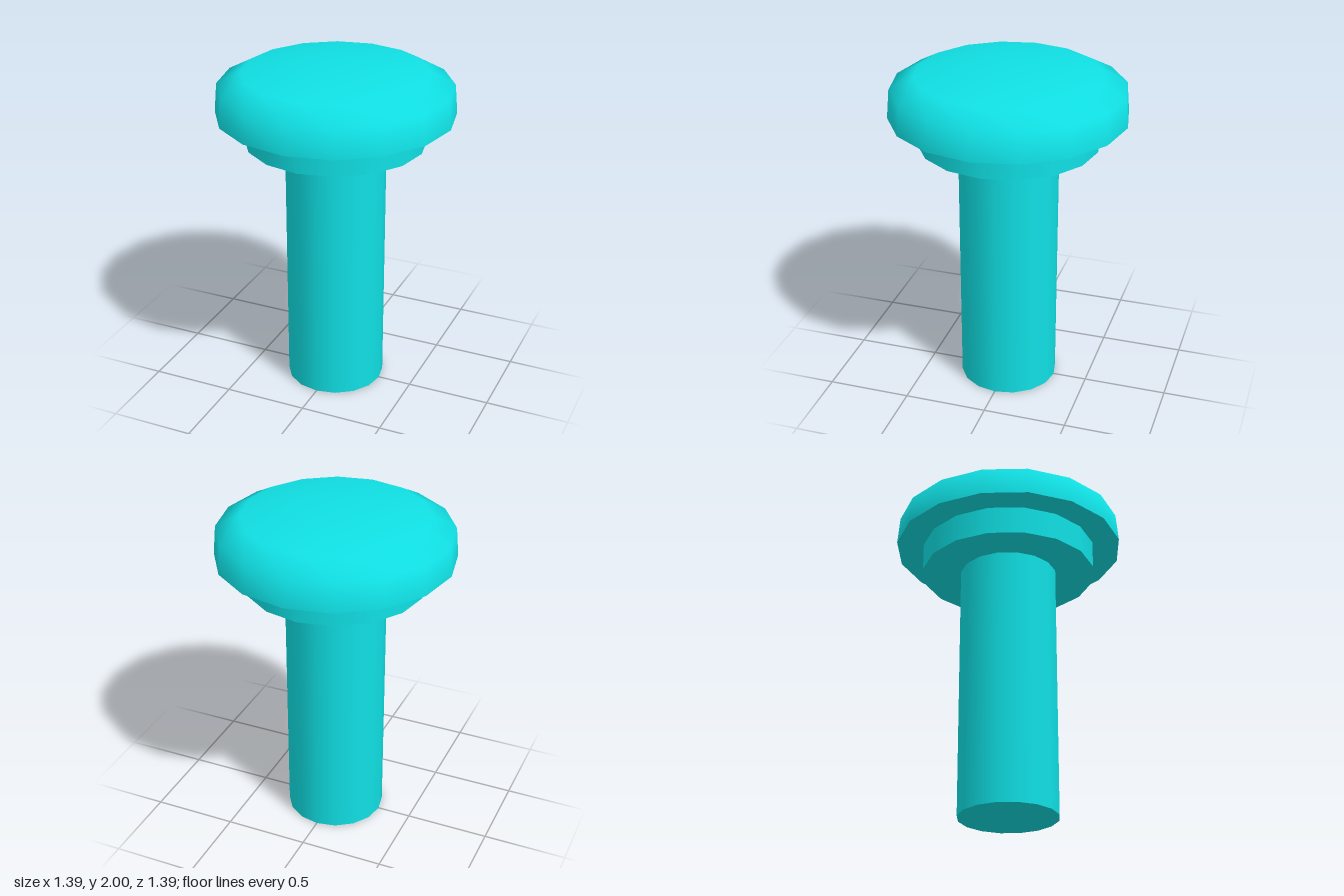
import * as THREE from 'three';

const SIDES = 16;

export function createModel() {
  const group = new THREE.Group();
  group.name = 'button';
  const material = new THREE.MeshStandardMaterial({ color: 0x10e0e4 });

  const add = (name, geometry, y = 0, parent = group) => {
    const mesh = new THREE.Mesh(geometry, material);
    mesh.name = name;
    mesh.position.y = y;
    parent.add(mesh);
    return mesh;
  };
  const cylinder = (name, radius, bottom, top) =>
    add(name, new THREE.CylinderGeometry(radius, radius, top - bottom, SIDES), (bottom + top) / 2);

  // Stem and the collar under the head
  cylinder('stem', 0.295, 0, 1.56);
  cylinder('collar', 0.53, 1.56, 1.73);

  // Domed head: smooth outer shell closed by a flat underside
  const head = new THREE.Group();
  head.name = 'head';
  group.add(head);
  const profile = [[0.695, 1.73], [0.68, 1.9], [0.54, 1.975], [0.2, 2], [0, 2]];
  add('headDome', new THREE.LatheGeometry(profile.map(([r, y]) => new THREE.Vector2(r, y)), SIDES), 0, head);
  add('headUnderside', new THREE.CircleGeometry(0.695, SIDES).rotateX(Math.PI / 2), 1.73, head);

  return group;
}
